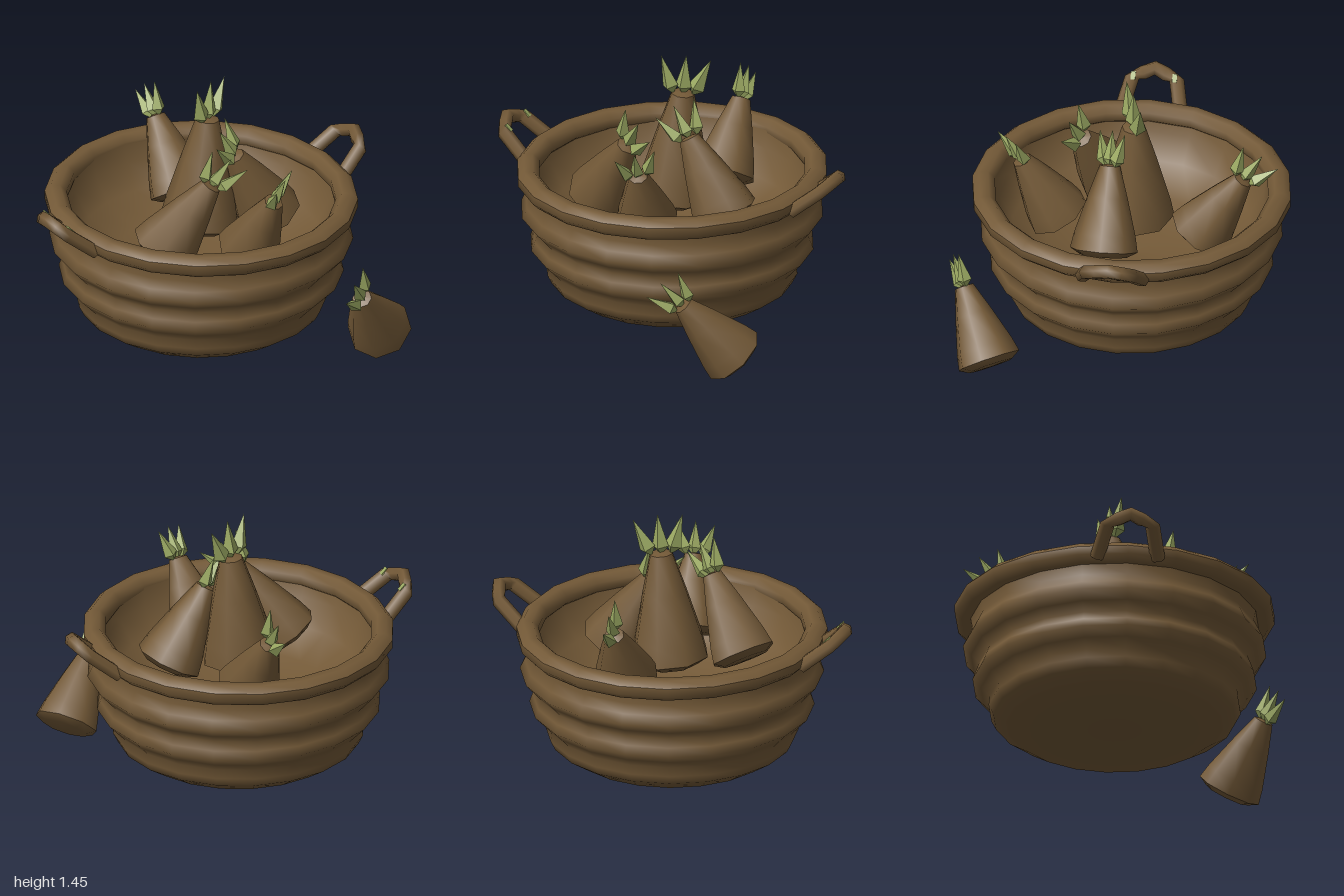
import * as THREE from 'three';

const brown = new THREE.MeshStandardMaterial({ color: 0x735937 });
brown.name = 'earthBrown';
const green = new THREE.MeshStandardMaterial({ color: 0x9aa862, flatShading: true });
green.name = 'leafGreen';

const UP = new THREE.Vector3(0, 1, 0);
const V = (a) => new THREE.Vector3(...a);

function add(parent, name, geometry, material) {
  const mesh = new THREE.Mesh(geometry, material);
  mesh.name = name;
  parent.add(mesh);
  return mesh;
}

// Repeated points in a profile make a crease
function lathe(points, sides) {
  return new THREE.LatheGeometry(points.map(([r, y]) => new THREE.Vector2(r, y)), sides);
}

const bulbGeometry = lathe([
  [0, -0.035], [0.13, -0.03], [0.185, 0], [0.185, 0],
  [0.168, 0.08], [0.11, 0.27], [0.056, 0.43], [0.056, 0.43], [0, 0.44],
], 8);
const leafGeometry = lathe([[0, 0], [0.041, 0.045], [0, 0.205]], 4);

// A tapered bulb from base to neck, with leaves spread along the fan direction
function makeBulb(base, neck, fan, scale) {
  const bulb = new THREE.Group();
  bulb.name = 'bulb';
  const axis = V(neck).sub(V(base));
  const length = axis.length();
  axis.normalize();
  const body = add(bulb, 'bulbBody', bulbGeometry, brown);
  body.position.copy(V(base));
  body.quaternion.setFromUnitVectors(UP, axis);
  body.scale.set(scale, length / 0.44, scale);

  const side = V(fan);
  side.addScaledVector(axis, -side.dot(axis)).normalize();
  for (const k of [-1, 0, 1]) {
    const leaf = add(bulb, 'leaf', leafGeometry, green);
    leaf.position.copy(V(neck))
      .addScaledVector(side, k * 0.045 * scale)
      .addScaledVector(axis, -0.02 * scale);
    const dir = axis.clone().addScaledVector(side, k * 0.38).normalize();
    leaf.quaternion.setFromUnitVectors(UP, dir);
    leaf.scale.setScalar(scale);
  }
  return bulb;
}

export function createModel() {
  const model = new THREE.Group();
  model.name = 'basketOfBulbs';

  const basket = new THREE.Group();
  basket.name = 'basket';
  basket.position.z = -0.025;
  model.add(basket);

  // Ribbed outer wall
  add(basket, 'basketWall', lathe([
    [0, 0.12], [0.53, 0.12], [0.64, 0.19], [0.665, 0.24], [0.66, 0.29],
    [0.705, 0.338], [0.75, 0.385], [0.733, 0.432], [0.715, 0.48],
    [0.757, 0.527], [0.8, 0.575], [0.775, 0.628], [0.75, 0.68], [0.765, 0.76],
  ], 20), brown);

  // Rounded bowl inside the basket
  add(basket, 'basketInside', lathe([
    [0.725, 0.8], [0.705, 0.7], [0.63, 0.57], [0.45, 0.47], [0.22, 0.42], [0, 0.4],
  ], 20), brown);

  // Thick rolled rim, slightly longer from front to back
  const rimProfile = [];
  for (let i = 0; i <= 8; i++) {
    const a = (i + 0.5) * Math.PI / 4;
    rimProfile.push([0.758 + 0.062 * Math.cos(a), 0.79 + 0.06 * Math.sin(a)]);
  }
  add(basket, 'rim', lathe(rimProfile, 20), brown).scale.z = 1.035;

  // Angular looped handles on both sides
  const handlePath = (s) => new THREE.CatmullRomCurve3([
    [0.77, 0.76, 0.16], [0.925, 0.885, 0.118], [0.963, 0.925, 0],
    [0.925, 0.885, -0.118], [0.77, 0.76, -0.16],
  ].map(([x, y, z]) => new THREE.Vector3(s * x, y, z)), false, 'catmullrom', 0);
  for (const s of [1, -1]) {
    add(basket, s > 0 ? 'leftHandle' : 'rightHandle',
      new THREE.TubeGeometry(handlePath(s), 10, 0.039, 6), brown);
  }

  // Small green flecks on the upper face of the right handle
  for (const z of [0.11, -0.11]) {
    const fleck = add(basket, 'handleFleck', new THREE.BoxGeometry(0.045, 0.008, 0.025), green);
    fleck.position.set(-0.9, 0.91, z);
    fleck.rotation.z = -Math.PI / 4;
  }

  // Bulbs: base, neck, leaf fan direction, scale
  const bulbs = [
    [[0, 0.66, -0.045], [0.055, 1.25, -0.045], [0.93, 0, -0.4], 1.12],
    [[0.12, 0.65, -0.4], [0.11, 1.0, -0.635], [0, -0.12, -0.17], 0.94],
    [[-0.345, 0.65, 0.125], [-0.12, 1.03, 0.26], [0.2, -0.15, 0.08], 0.97],
    [[0.36, 0.65, 0.075], [0.14, 1.05, 0.07], [0.1, -0.04, -0.06], 0.97],
    [[0.04, 0.65, 0.36], [0.08, 1.0, 0.55], [0.17, 0.05, -0.11], 0.92],
    [[0.685, 0.115, 0.64], [0.46, 0.43, 0.805], [0.135, 0.135, -0.06], 0.93],
  ];
  for (const b of bulbs) model.add(makeBulb(...b));

  return model;
}
